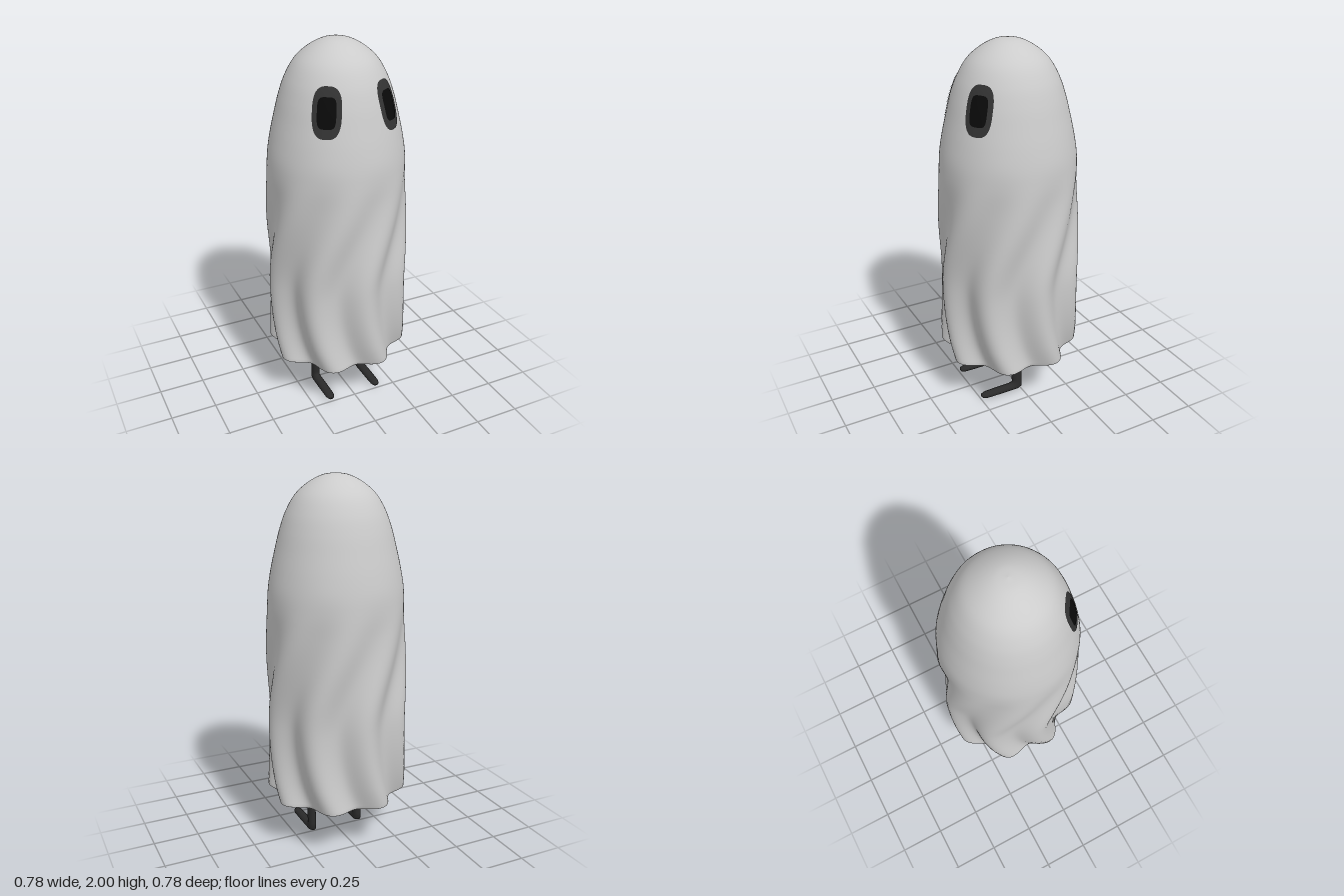
import * as THREE from 'three';

const rad = THREE.MathUtils.degToRad;

// Cloth profile from hem to crown: mean radius, height, fold depth
const profile = new THREE.CatmullRomCurve3([
  [0.355, 0.27, 0.03], [0.36, 0.4, 0.029], [0.364, 0.6, 0.027], [0.365, 0.8, 0.024],
  [0.364, 1.0, 0.016], [0.363, 1.2, 0.008], [0.362, 1.33, 0.002], [0.356, 1.42, 0],
  [0.339, 1.52, 0], [0.316, 1.62, 0], [0.29, 1.72, 0], [0.257, 1.81, 0],
  [0.206, 1.895, 0], [0.135, 1.956, 0], [0.065, 1.99, 0], [0, 2, 0],
].map(p => new THREE.Vector3(...p)));

// The folds sway sideways with height
function foldAngle(y) {
  if (y < 0.7) return rad(17) * ((0.7 - y) / 0.43) ** 2;
  return rad(34) * THREE.MathUtils.smoothstep(y, 0.7, 1.4);
}

// Point on the cloth; angle 0 is the front, turning toward +x
function clothPoint(p, angle, inset = 0, y = p.y) {
  const r = p.x + p.z * Math.cos(8 * (angle - foldAngle(p.y))) - inset;
  return [r * Math.sin(angle), y, r * Math.cos(angle)];
}

// Profile entry at a given height
function profileAt(y) {
  let lo = 0, hi = 1;
  for (let i = 0; i < 24; i++) {
    const mid = (lo + hi) / 2;
    if (profile.getPoint(mid).y < y) lo = mid; else hi = mid;
  }
  return profile.getPoint(lo);
}

// Skin closed rings; point(row, angle) gives a position
function loft(rows, sides, point) {
  const pos = [], index = [];
  for (let i = 0; i < rows; i++) {
    for (let j = 0; j < sides; j++) {
      pos.push(...point(i, (j / sides) * Math.PI * 2));
      if (i === rows - 1) continue;
      const a = i * sides + j, b = i * sides + (j + 1) % sides;
      index.push(a, b, b + sides, a, b + sides, a + sides);
    }
  }
  const geo = new THREE.BufferGeometry();
  geo.setAttribute('position', new THREE.Float32BufferAttribute(pos, 3));
  geo.setIndex(index);
  geo.computeVertexNormals();
  return geo;
}

export function createModel() {
  const model = new THREE.Group();
  const add = (name, geo, color) => {
    const mesh = new THREE.Mesh(geo, new THREE.MeshStandardMaterial({ color }));
    mesh.name = name;
    model.add(mesh);
  };

  // Sheet with a rounded hem
  const hem = profile.getPoint(0), steps = 100, thick = 0.018;
  const rim = [[thick, 0.275], [thick * 0.8, 0.269], [thick * 0.5, 0.266], [thick * 0.2, 0.267]];
  add('sheet', loft(rim.length + steps + 1, 144, (i, a) => {
    if (i < rim.length) return clothPoint(hem, a, ...rim[i]);
    return clothPoint(profile.getPoint((i - rim.length) / steps), a);
  }), 0xcccccc);

  // Dark lining and the closed underside the legs hang from
  const ceilingY = 0.43;
  add('lining', loft(9, 144, (i, a) =>
    clothPoint(profileAt(ceilingY + (0.273 - ceilingY) * i / 8), a, thick)), 0x333333);
  const top = profileAt(ceilingY);
  add('underside', loft(2, 144, (i, a) => {
    const [x, y, z] = clothPoint(top, a, thick);
    return [x * i, y, z * i];
  }), 0x333333);

  // Eyes: rounded patches that follow the cloth
  const eyePatch = (side, halfW, halfH, lift, n) => loft(9, 48, (i, a) => {
    const s = 1 - i / 8, c = Math.cos(a), d = Math.sin(a);
    const u = Math.sign(c) * Math.abs(c) ** (2 / n) * s * halfW;
    const v = Math.sign(d) * Math.abs(d) ** (2 / n) * s * halfH;
    const p = profileAt(1.7 + v);
    return clothPoint(p, side * rad(34) + u / p.x, -lift, p.y + lift * 0.3);
  });

  // Legs: each ring spans a front/top point to a back/bottom point [y, z], plus half width
  const legRings = [
    [[0.44, 0.06], [0.44, 0], 0.023],
    [[0.27, 0.058], [0.27, -0.002], 0.023],
    [[0.07, 0.05], [0.05, -0.012], 0.022],
    [[0.048, 0.047], [0.012, -0.012], 0.023],
    [[0.042, 0.07], [0.001, 0.01], 0.025],
    [[0.041, 0.15], [0.002, 0.15], 0.025],
    [[0.039, 0.22], [0.004, 0.22], 0.024],
    [[0.034, 0.241], [0.009, 0.241], 0.017],
    [[0.022, 0.25], [0.022, 0.25], 0],
  ];
  const leg = x => loft(legRings.length, 16, (i, a) => {
    const [f, b, w] = legRings[i], s = Math.sin(a) / 2;
    return [x + w * Math.cos(a),
      (f[0] + b[0]) / 2 + (f[0] - b[0]) * s,
      (f[1] + b[1]) / 2 + (f[1] - b[1]) * s];
  });

  for (const [side, word] of [[1, 'left'], [-1, 'right']]) {
    add(word + 'EyeRim', eyePatch(side, 0.072, 0.12, 0.003, 2.8), 0x333333);
    add(word + 'EyeHole', eyePatch(side, 0.046, 0.073, 0.006, 4), 0x0a0a0a);
    add(word + 'Leg', leg(side * 0.143), 0x2a2a2a);
  }
  return model;
}
